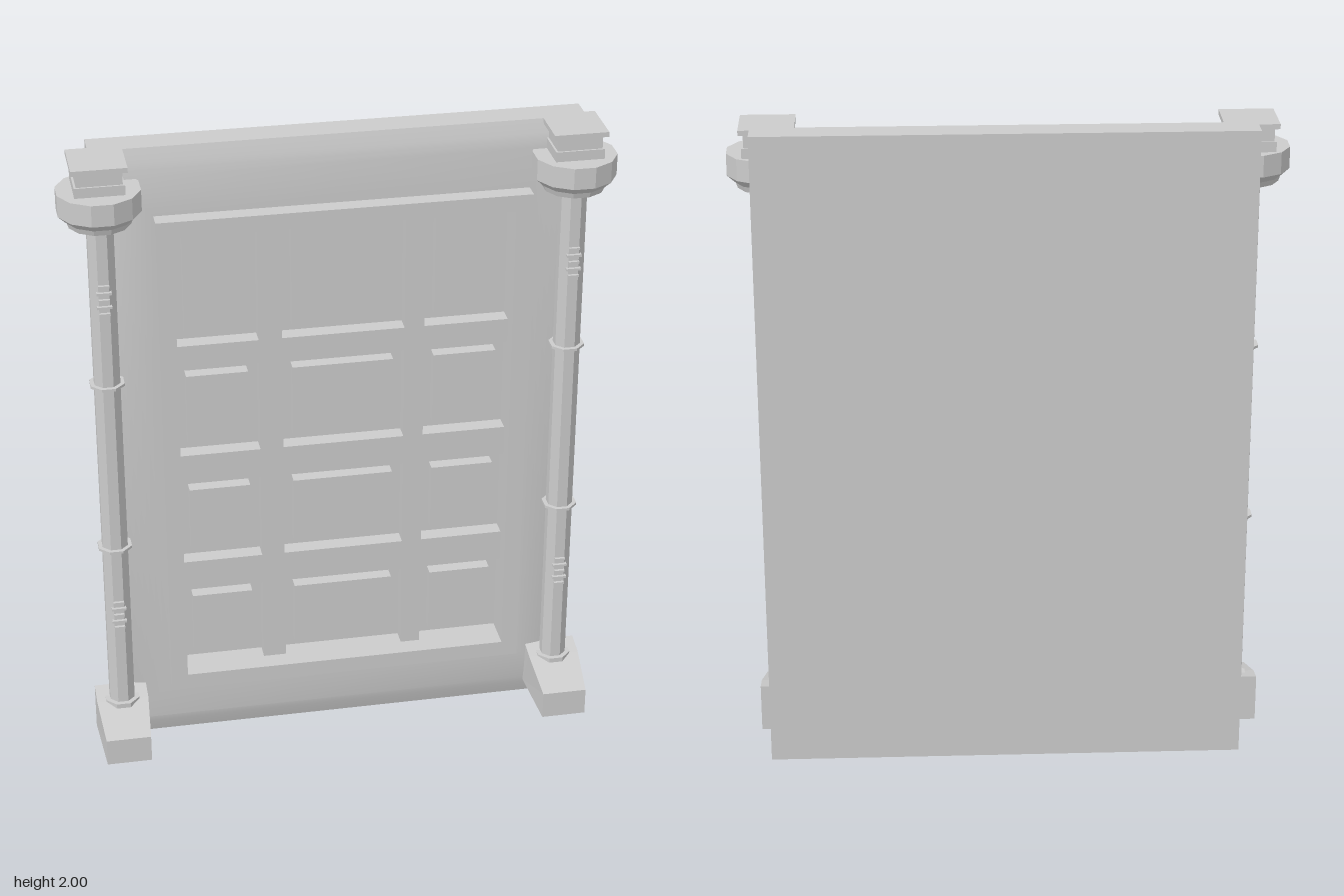
import * as THREE from 'three';
import { toCreasedNormals } from 'three/addons/utils/BufferGeometryUtils.js';

const grey = new THREE.MeshStandardMaterial({ color: 0xcccccc });
const faceted = new THREE.MeshStandardMaterial({ color: 0xcccccc, flatShading: true });

function add(parent, name, geometry, material = grey) {
  const mesh = new THREE.Mesh(geometry, material);
  mesh.name = name;
  parent.add(mesh);
  return mesh;
}

// Box given by its limits on each axis
function box(parent, name, x0, x1, y0, y1, z0, z1) {
  const mesh = add(parent, name, new THREE.BoxGeometry(x1 - x0, y1 - y0, z1 - z0));
  mesh.position.set((x0 + x1) / 2, (y0 + y1) / 2, (z0 + z1) / 2);
  return mesh;
}

const OUTER = { x0: -0.71, x1: 0.74, y0: 0, y1: 2 };
const INNER = { x0: -0.535, x1: 0.57, y0: 0.2, y1: 1.8 };

// Bulging surround: rectangular rings swept from the outer edge in to the door frame
function surroundGeometry() {
  const ring = (t, z) => {
    const m = (k) => THREE.MathUtils.lerp(OUTER[k], INNER[k], t);
    return [[m('x0'), m('y0'), z], [m('x1'), m('y0'), z], [m('x1'), m('y1'), z], [m('x0'), m('y1'), z]];
  };
  const rings = [ring(0, -0.11)];
  const steps = 10;
  for (let i = 0; i <= steps; i++) {
    const t = i / steps;
    rings.push(ring(t, -0.073 + 0.033 * (1 - (1 - t) ** 2)));
  }
  const positions = [];
  for (let r = 0; r < rings.length - 1; r++) {
    for (let i = 0; i < 4; i++) {
      const j = (i + 1) % 4;
      const [a, b, c, d] = [rings[r][i], rings[r][j], rings[r + 1][j], rings[r + 1][i]];
      positions.push(...a, ...b, ...c, ...a, ...c, ...d);
    }
  }
  const geometry = new THREE.BufferGeometry();
  geometry.setAttribute('position', new THREE.Float32BufferAttribute(positions, 3));
  return toCreasedNormals(geometry, 0.35);
}

function rectangle(target, x0, x1, y0, y1) {
  target.moveTo(x0, y0);
  target.lineTo(x1, y0);
  target.lineTo(x1, y1);
  target.lineTo(x0, y1);
  target.closePath();
  return target;
}

function createDoor() {
  const door = new THREE.Group();
  door.name = 'door';

  // Raised rim around the deep opening
  const rim = rectangle(new THREE.Shape(), INNER.x0, INNER.x1, INNER.y0, INNER.y1);
  rim.holes.push(rectangle(new THREE.Path(), -0.485, 0.52, 0.25, 1.75));
  const rimGeometry = new THREE.ExtrudeGeometry(rim, { depth: 0.11, bevelEnabled: false });
  add(door, 'doorFrame', rimGeometry).position.z = -0.1;

  const columns = [[-0.485, -0.235], [-0.165, 0.205], [0.265, 0.52]];
  const rows = [[0.25, 0.525], [0.625, 0.905], [1.0, 1.295], [1.37, 1.75]];

  // Stiles run full height, rails fill between them
  for (let c = 0; c < 2; c++) {
    box(door, 'stile', columns[c][1], columns[c + 1][0], 0.25, 1.75, -0.11, -0.05);
  }
  for (const [x0, x1] of columns) {
    for (let r = 0; r < 3; r++) {
      box(door, 'rail', x0, x1, rows[r][1], rows[r + 1][0], -0.11, -0.05);
    }
    // Raised panels with a groove all round
    for (const [y0, y1] of rows) {
      box(door, 'doorPanel', x0 + 0.032, x1 - 0.032, y0 + 0.032, y1 - 0.032, -0.11, -0.06);
    }
  }
  return door;
}

function createColumn(side) {
  const column = new THREE.Group();
  column.name = side > 0 ? 'leftColumn' : 'rightColumn';
  column.position.set(side * 0.692, 0, -0.007);

  // Stack of straight-sided prisms, a flat side facing the front
  const prism = (name, rTop, rBottom, y0, y1, sides) => {
    const geometry = new THREE.CylinderGeometry(rTop, rBottom, y1 - y0, sides);
    geometry.rotateY(Math.PI / sides);
    add(column, name, geometry, faceted).position.y = (y0 + y1) / 2;
  };
  prism('shaft', 0.041, 0.041, 0.16, 1.83, 8);
  prism('shaftBase', 0.056, 0.056, 0.165, 0.19, 8);
  for (const y of [0.74, 1.295]) prism('shaftRing', 0.054, 0.054, y - 0.004, y + 0.004, 8);

  // Capital: stepped neck, flared bowl and drum
  prism('capitalNeck', 0.098, 0.092, 1.81, 1.828, 12);
  prism('capitalBowl', 0.123, 0.1, 1.828, 1.85, 12);
  prism('capitalDrum', 0.123, 0.123, 1.85, 1.915, 12);

  // Square block under a thin cap slab
  box(column, 'capBlockLower', -0.072, 0.072, 1.91, 1.945, -0.085, 0.061);
  box(column, 'capBlockUpper', -0.066, 0.066, 1.945, 1.985, -0.08, 0.055);
  box(column, 'capSlab', -0.08, 0.08, 1.985, 2, -0.092, 0.068);

  // Small raised bars on the shaft front
  for (const base of [0.465, 1.535]) {
    for (let i = 0; i < 5; i++) {
      const half = i % 2 ? 0.022 : 0.016;
      box(column, 'shaftBar', -half, half, base + i * 0.022, base + i * 0.022 + 0.007, 0.03, 0.047);
    }
  }

  // Sloping foot, narrowed slightly towards its toe
  const profile = new THREE.Shape();
  profile.moveTo(-0.05, 0.05);
  profile.lineTo(0.167, 0.05);
  profile.lineTo(0.167, 0.137);
  profile.lineTo(0.02, 0.185);
  profile.lineTo(-0.05, 0.2);
  profile.closePath();
  const foot = new THREE.ExtrudeGeometry(profile, { depth: 0.16, bevelEnabled: false });
  foot.translate(0, 0, -0.08);
  foot.rotateY(-Math.PI / 2);
  const p = foot.attributes.position;
  for (let i = 0; i < p.count; i++) {
    if (p.getZ(i) > 0.1) p.setX(i, p.getX(i) * 0.86);
  }
  add(column, 'foot', foot, faceted);
  return column;
}

export function createModel() {
  const model = new THREE.Group();
  model.name = 'panelledDoorway';
  box(model, 'backSlab', OUTER.x0, OUTER.x1, OUTER.y0, OUTER.y1, -0.162, -0.1);
  add(model, 'surround', surroundGeometry());
  model.add(createDoor());
  for (const side of [-1, 1]) model.add(createColumn(side));
  return model;
}
